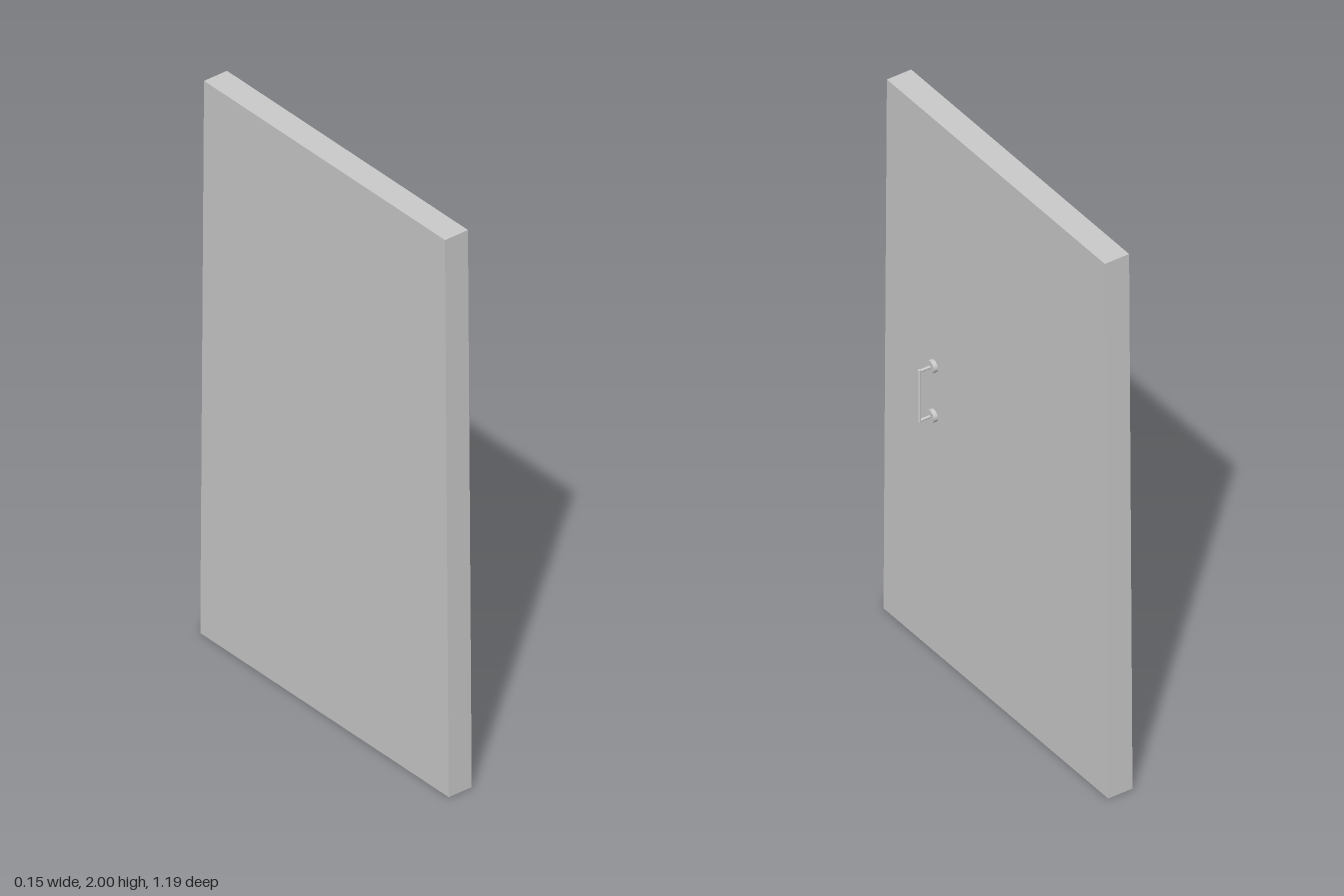
import * as THREE from 'three';

export function createModel() {
  const group = new THREE.Group();
  const grey = new THREE.MeshStandardMaterial({ color: 0xcccccc, side: THREE.DoubleSide });
  const backX = -0.074, faceX = 0.016, barX = 0.069;
  const handleZ = 0.33, lowY = 0.888, highY = 1.074, rod = 0.005;

  const add = (name, geometry, x, y, z, parent = group) => {
    const mesh = new THREE.Mesh(geometry, grey);
    mesh.name = name;
    mesh.position.set(x, y, z);
    parent.add(mesh);
    return mesh;
  };

  // Door slab, slightly narrower at the top
  const outline = new THREE.Shape([
    new THREE.Vector2(-0.597, 0),
    new THREE.Vector2(0.597, 0),
    new THREE.Vector2(0.579, 2),
    new THREE.Vector2(-0.579, 2),
  ]);
  const slab = new THREE.ExtrudeGeometry(outline, { depth: faceX - backX, bevelEnabled: false });
  slab.rotateY(Math.PI / 2);
  add('doorPanel', slab, backX, 0, 0);

  // Pull handle: two round mounts, two posts and a vertical bar
  const handle = new THREE.Group();
  handle.name = 'handle';
  group.add(handle);
  const alongX = (radius, length) =>
    new THREE.CylinderGeometry(radius, radius, length, 24).rotateZ(Math.PI / 2);
  for (const [side, y] of [['lower', lowY], ['upper', highY]]) {
    add(side + 'Mount', alongX(0.022, 0.015), faceX + 0.0075, y, handleZ, handle);
    add(side + 'Post', alongX(rod, barX - faceX), (barX + faceX) / 2, y, handleZ, handle);
  }
  const bar = new THREE.CylinderGeometry(rod, rod, highY - lowY + 2 * rod, 24);
  add('handleBar', bar, barX, (lowY + highY) / 2, handleZ, handle);

  return group;
}
